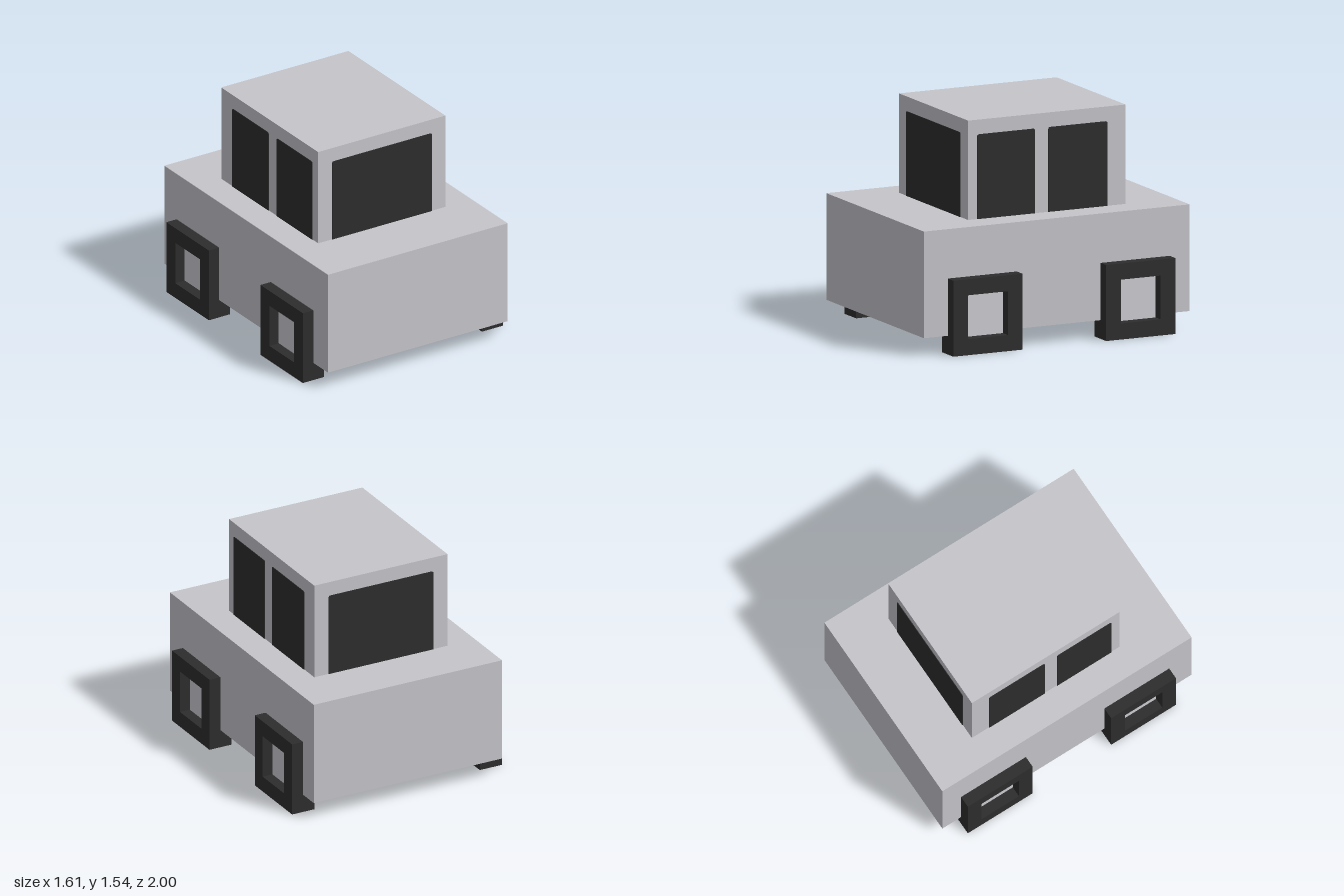
import * as THREE from 'three';

const paint = new THREE.MeshStandardMaterial({ color: 0xc4c4ca });
paint.name = 'light grey paint';
const dark = new THREE.MeshStandardMaterial({ color: 0x2d2d2d });
dark.name = 'dark glass and rubber';
const hubGrey = new THREE.MeshStandardMaterial({ color: 0xcbcbd1 });
hubGrey.name = 'pale hub grey';

function box(name, material, [x0, x1], [y0, y1], [z0, z1]) {
  const mesh = new THREE.Mesh(new THREE.BoxGeometry(x1 - x0, y1 - y0, z1 - z0), material);
  mesh.position.set((x0 + x1) / 2, (y0 + y1) / 2, (z0 + z1) / 2);
  mesh.name = name;
  return mesh;
}

// Thin pane with small rounded top corners, standing on y = 0 and facing +z
function pane(name, width, height) {
  const w = width / 2, r = 0.015;
  const shape = new THREE.Shape();
  shape.moveTo(-w, 0);
  shape.lineTo(w, 0);
  shape.lineTo(w, height - r);
  shape.quadraticCurveTo(w, height, w - r, height);
  shape.lineTo(r - w, height);
  shape.quadraticCurveTo(-w, height, -w, height - r);
  const geometry = new THREE.ExtrudeGeometry(shape, { depth: 0.004, bevelEnabled: false, curveSegments: 3 });
  const mesh = new THREE.Mesh(geometry, dark);
  mesh.name = name;
  return mesh;
}

// Square tyre with a square opening and a recessed hub, running along +x from 0
function wheel(name) {
  const group = new THREE.Group();
  group.name = name;
  const square = (target, s) => {
    target.moveTo(-s, -s);
    target.lineTo(s, -s);
    target.lineTo(s, s);
    target.lineTo(-s, s);
    target.closePath();
    return target;
  };
  const shape = square(new THREE.Shape(), 0.26);
  shape.holes.push(square(new THREE.Path(), 0.15));
  const geometry = new THREE.ExtrudeGeometry(shape, { depth: 0.17, bevelEnabled: false });
  geometry.rotateY(Math.PI / 2);
  const tyre = new THREE.Mesh(geometry, dark);
  tyre.name = 'tyre';
  group.add(tyre, box('hub', hubGrey, [0.003, 0.095], [-0.15, 0.15], [-0.15, 0.15]));
  return group;
}

export function createModel() {
  const model = new THREE.Group();
  model.name = 'car';

  // Body and cabin
  model.add(box('body', paint, [-0.72, 0.72], [0.13, 0.86], [-1, 1]));
  model.add(box('cabin', paint, [-0.51, 0.51], [0.86, 1.54], [-0.625, 0.56]));

  // Front and rear windows
  const windscreen = pane('windscreen', 0.8, 0.58);
  windscreen.position.set(0, 0.86, 0.56);
  const rearWindow = pane('rearWindow', 0.8, 0.58);
  rearWindow.position.set(0, 0.86, -0.625);
  rearWindow.rotation.y = Math.PI;
  model.add(windscreen, rearWindow);

  for (const side of [-1, 1]) {
    const label = side > 0 ? 'left' : 'right';

    // Two side windows
    for (const [end, z, width] of [['Front', 0.275, 0.435], ['Rear', -0.265, 0.445]]) {
      const glass = pane(`${label}${end}Window`, width, 0.58);
      glass.position.set(side * 0.51, 0.86, z);
      glass.rotation.y = side * Math.PI / 2;
      model.add(glass);
    }

    // Wheels
    for (const [end, z] of [['Front', 0.56], ['Rear', -0.59]]) {
      const w = wheel(`${label}${end}Wheel`);
      w.position.set(side * 0.633, 0.262, z);
      if (side < 0) w.rotation.y = Math.PI;
      model.add(w);
    }
  }
  return model;
}
